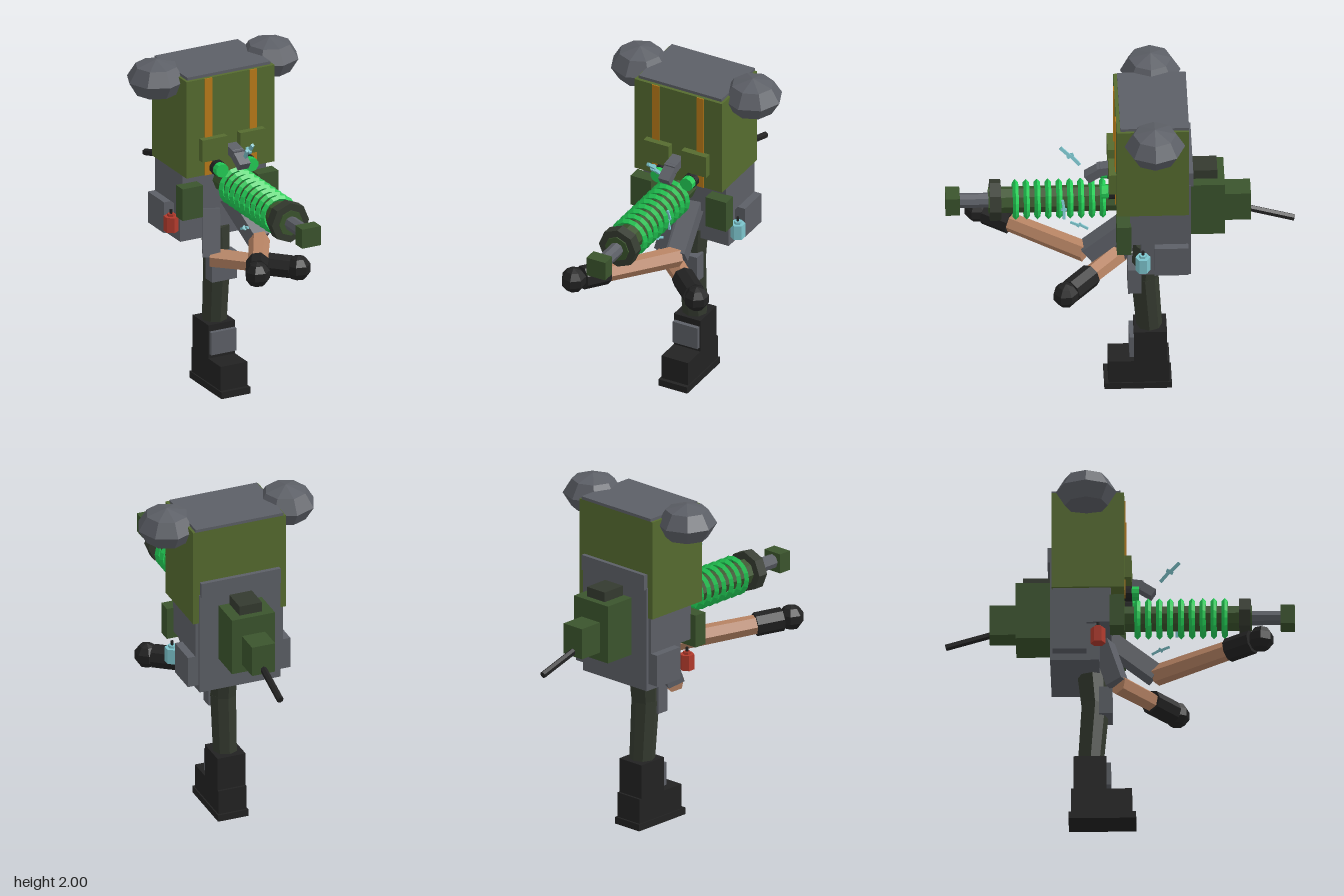
import * as THREE from 'three';

const mat = (name, color) => {
  const m = new THREE.MeshStandardMaterial({ color });
  m.name = name;
  m.flatShading = true;
  return m;
};

export function createModel() {
  const olive = mat('olive', 0x556b2f);
  const green = mat('armyGreen', 0x3b542d);
  const cloth = mat('darkCloth', 0x343a2f);
  const grey = mat('steelGrey', 0x5c5f66);
  const black = mat('black', 0x222222);
  const orange = mat('orange', 0xb87a18);
  const skin = mat('skin', 0xb88464);
  const blue = mat('paleBlue', 0x7cc4cc);
  const red = mat('red', 0xb23a2c);
  const neon = mat('neonGreen', 0x22cc55);

  const model = new THREE.Group();
  model.name = 'figure';

  const add = (name, geo, m, x = 0, y = 0, z = 0) => {
    const mesh = new THREE.Mesh(geo, m);
    mesh.name = name;
    mesh.position.set(x, y, z);
    model.add(mesh);
    return mesh;
  };
  // box given by its extents
  const box = (name, m, x0, x1, y0, y1, z0, z1) =>
    add(name, new THREE.BoxGeometry(x1 - x0, y1 - y0, z1 - z0), m,
      (x0 + x1) / 2, (y0 + y1) / 2, (z0 + z1) / 2);
  // tapered prism between two points
  const rod = (name, m, a, b, r0, r1 = r0, sides = 6) => {
    const p = new THREE.Vector3(...a), q = new THREE.Vector3(...b);
    const d = q.clone().sub(p);
    const mesh = add(name, new THREE.CylinderGeometry(r1, r0, d.length(), sides), m);
    mesh.position.copy(p).add(q).multiplyScalar(0.5);
    mesh.quaternion.setFromUnitVectors(new THREE.Vector3(0, 1, 0), d.normalize());
    return mesh;
  };
  // square beam between two points in any direction
  const beam = (name, m, a, b, w, h) => {
    const p = new THREE.Vector3(...a), q = new THREE.Vector3(...b);
    const mesh = add(name, new THREE.BoxGeometry(w, h, p.distanceTo(q)), m);
    mesh.position.copy(p).add(q).multiplyScalar(0.5);
    mesh.lookAt(q);
    return mesh;
  };

  // Head block with lid, stripes and round ear pods
  box('headBlock', olive, -0.28, 0.28, 1.34, 1.92, -0.375, 0.03);
  box('headLid', grey, -0.265, 0.265, 1.92, 1.937, -0.375, 0.01);
  for (const s of [-1, 1]) {
    const pod = add('earPod', new THREE.SphereGeometry(0.17, 8, 4), grey, s * 0.36, 1.885, -0.18);
    pod.scale.y = 0.68;
    box('headStripe', orange, s * 0.143 - 0.023, s * 0.143 + 0.023, 1.34, 1.92, 0.028, 0.036);
    box('facePouch', olive, s * 0.12 - 0.08, s * 0.12 + 0.08, 1.435, 1.567, 0.03, 0.07);
    rod('eyeSocket', black, [s * 0.095, 1.38, 0.02], [s * 0.095, 1.38, 0.07], 0.044, 0.044, 10);
    rod('eyeLens', neon, [s * 0.095, 1.38, 0.06], [s * 0.095, 1.38, 0.11], 0.04, 0.04, 10);
  }
  // Bent breathing hose
  beam('hoseUpper', grey, [0, 1.48, 0.02], [0, 1.465, 0.13], 0.07, 0.05);
  beam('hoseLower', grey, [0, 1.473, 0.1], [0, 1.415, 0.19], 0.068, 0.05);

  // Torso and back plate
  box('torso', grey, -0.245, 0.245, 0.905, 1.35, -0.375, -0.11);
  box('chest', grey, -0.265, 0.265, 1.13, 1.345, -0.37, -0.045);
  box('backPlate', grey, -0.245, 0.245, 0.905, 1.52, -0.385, -0.37);
  box('backFlange', grey, -0.24, 0.24, 1.51, 1.6, -0.4, -0.37);
  for (const s of [-1, 1]) {
    box('hipPouch', grey, s * 0.275 - 0.035, s * 0.275 + 0.035, 0.945, 1.13, -0.37, -0.18);
    box('shoulderPouch', green, s * 0.24 - 0.065, s * 0.24 + 0.065, 1.09, 1.28, -0.05, 0.03);
    // Grenade with pin
    const m = s > 0 ? blue : red;
    rod('grenade', m, [s * 0.3, 0.98, -0.115], [s * 0.3, 1.07, -0.115], 0.042, 0.042, 6);
    rod('grenadeCap', m, [s * 0.3, 1.07, -0.115], [s * 0.3, 1.085, -0.115], 0.022, 0.022, 6);
    rod('grenadePin', black, [s * 0.3, 1.08, -0.115], [s * 0.3, 1.11, -0.115], 0.008);
  }

  // Rear pack and antenna
  box('rearPack', green, -0.13, 0.13, 1.095, 1.435, -0.58, -0.38);
  box('rearPackCap', cloth, -0.068, 0.068, 1.43, 1.492, -0.54, -0.39);
  box('rearPackEnd', green, -0.07, 0.07, 1.145, 1.325, -0.728, -0.575);
  rod('antenna', black, [0, 1.177, -0.71], [0, 1.1, -0.972], 0.02);

  // Coil cannon
  const gy = 1.267;
  rod('cannonCore', green, [0, gy, -0.05], [0, gy, 0.74], 0.075, 0.075, 8);
  rod('cannonCollar', cloth, [0, gy, 0.67], [0, gy, 0.733], 0.118, 0.118, 8);
  rod('cannonRod', grey, [0, gy, 0.73], [0, gy, 0.91], 0.042, 0.042, 8);
  box('cannonTip', green, -0.06, 0.06, 1.208, 1.322, 0.9, 0.98);
  for (let i = 0; i < 9; i++) {
    add('coilRing', new THREE.TorusGeometry(0.098, 0.017, 4, 16), neon, 0, gy, 0.1 + i * 0.061);
  }

  // Electric sparks: two offset bars with a short link
  const spark = (x, y, z, tilt, k) => {
    const g = new THREE.Group();
    g.name = 'spark';
    for (const [dy, dz, len, rot] of [[0.026, 0.028, 0.075, 0.75], [-0.026, -0.024, 0.085, 0.85], [0, 0, 0.04, -0.5]]) {
      const bar = new THREE.Mesh(new THREE.BoxGeometry(0.016, 0.018, len), blue);
      bar.name = 'sparkBar';
      bar.position.set(dy * 0.4, dy, dz);
      bar.rotation.x = -rot;
      g.add(bar);
    }
    g.position.set(x, y, z);
    g.rotation.set(tilt, 0, 0.3);
    g.scale.setScalar(k);
    model.add(g);
  };
  spark(-0.02, 1.548, 0.28, 0, 1);
  spark(-0.02, 1.065, 0.23, 0.4, 0.7);
  spark(0.1, 1.265, 0.32, -0.7, 0.8);

  // Arms: sleeve, bare forearm, glove cuff and fist
  const arm = (shoulder, elbow, fist, cuff0, cuff1) => {
    const e = new THREE.Vector3(...elbow), f = new THREE.Vector3(...fist);
    const at = (t) => e.clone().lerp(f, t).toArray();
    beam('sleeve', grey, shoulder, elbow, 0.1, 0.1);
    rod('forearm', skin, elbow, at(cuff0 + 0.02), 0.06, 0.055, 6);
    rod('gloveCuff', black, at(cuff0), at(cuff1), 0.068, 0.068, 8);
    const fistMesh = add('fist', new THREE.SphereGeometry(0.074, 7, 5), black);
    fistMesh.position.copy(f);
  };
  arm([0.05, 1.15, -0.06], [0.09, 0.96, 0.2], [-0.245, 1.025, 0.795], 0.69, 0.92);
  arm([-0.06, 1.08, -0.09], [-0.1, 0.82, -0.01], [0.275, 0.8, 0.315], 0.56, 0.92);

  // Leg with knee pad, shin guard and boot
  rod('thigh', cloth, [0, 0.71, -0.135], [0, 0.95, -0.155], 0.076, 0.084, 8);
  rod('shin', cloth, [0, 0.37, -0.162], [0, 0.73, -0.135], 0.072, 0.078, 8);
  box('kneePad', grey, -0.08, 0.08, 0.652, 0.815, -0.115, -0.04);
  box('shinGuard', grey, -0.08, 0.08, 0.212, 0.347, -0.08, -0.048);
  box('bootShaft', black, -0.085, 0.085, 0.18, 0.385, -0.258, -0.073);
  box('bootFoot', black, -0.085, 0.085, 0.035, 0.185, -0.272, 0.07);
  box('bootSole', black, -0.092, 0.092, 0, 0.04, -0.285, 0.093);

  return model;
}
